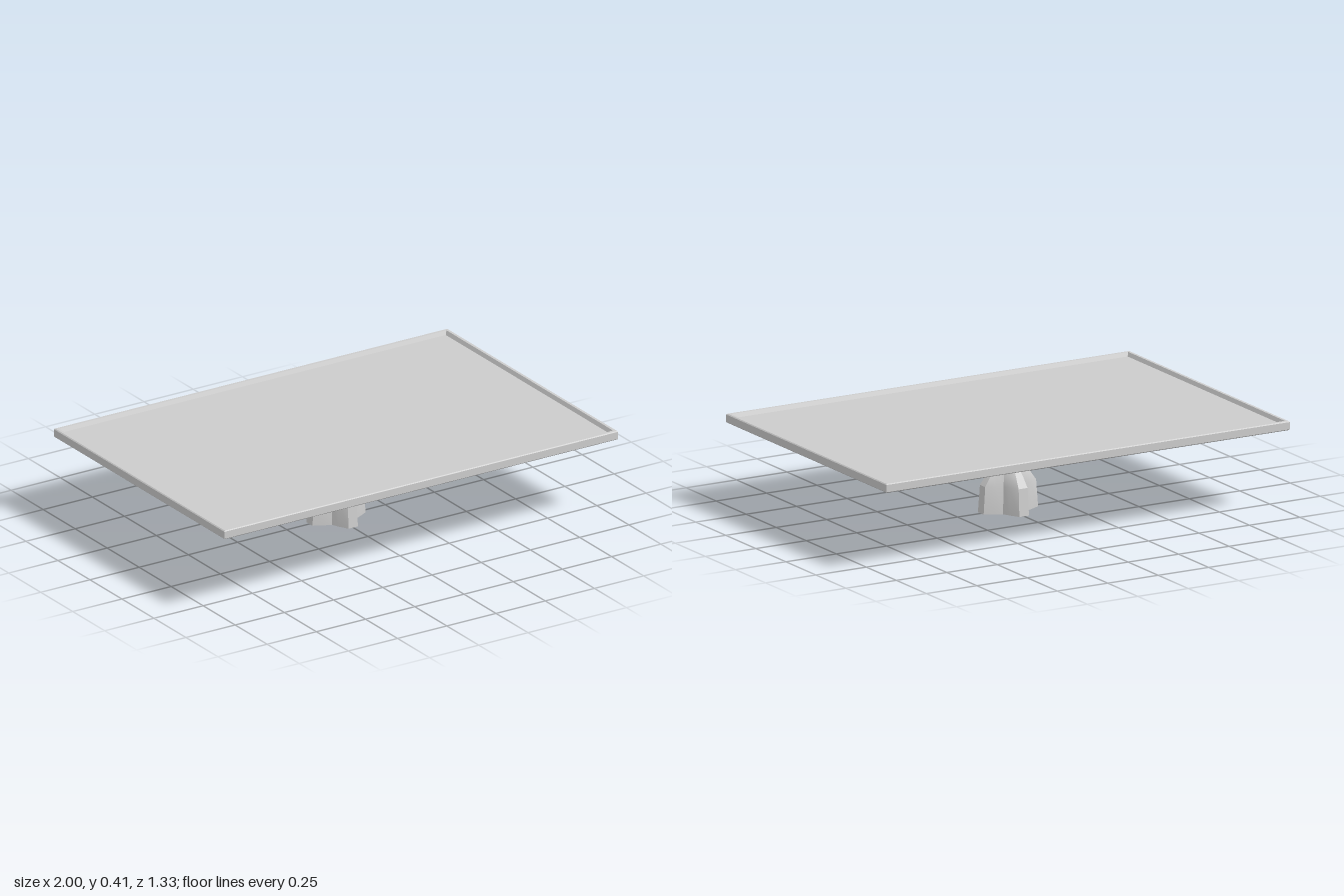
import * as THREE from 'three';
import { toCreasedNormals } from 'three/addons/utils/BufferGeometryUtils.js';

const material = new THREE.MeshStandardMaterial({ color: 0xcccccc, side: THREE.DoubleSide });

// Skins a stack of closed rings, optionally closing the first and last ring.
function loft(rings, capped, crease) {
  const n = rings[0].length;
  const index = [];
  for (let i = 0; i < rings.length - 1; i++) {
    for (let j = 0; j < n; j++) {
      const a = i * n + j, b = i * n + (j + 1) % n;
      index.push(a, a + n, b + n, a, b + n, b);
    }
  }
  if (capped) {
    const t = (rings.length - 1) * n;
    for (let j = 1; j < n - 1; j++) {
      index.push(0, j, j + 1);
      index.push(t, t + j + 1, t + j);
    }
  }
  const geometry = new THREE.BufferGeometry();
  geometry.setAttribute('position', new THREE.Float32BufferAttribute(rings.flat(2), 3));
  geometry.setIndex(index);
  return toCreasedNormals(geometry, crease);
}

// Shallow rectangular tray: [inset from the edge, height], bottom to floor
function makeTray() {
  const profile = [
    [0.004, 0.365], [0, 0.369], [0, 0.401], [0.004, 0.405],
    [0.016, 0.405], [0.024, 0.388],
  ];
  const corners = [[1, 1], [-1, 1], [-1, -1], [1, -1]];
  const rings = profile.map(([inset, y]) =>
    corners.map(([sx, sz]) => [sx * (1 - inset), y, sz * (0.667 - inset)]));
  return loft(rings, true, 0.3);
}

// Hollow pedestal: four-lobed foot that blends into a round neck and cup.
// [height, radius at the lobes, radius in the valleys]
function makePedestal() {
  const profile = [
    [0, 0.137, 0.085], [0.12, 0.128, 0.078], [0.165, 0.097, 0.068],
    [0.205, 0.062, 0.053], [0.225, 0.047, 0.045], [0.26, 0.045, 0.045],
    [0.3, 0.075, 0.075], [0.366, 0.091, 0.091],
  ];
  const angles = [-10, 10, 28, 45, 62]; // one quarter: lobe tip, flank, valley, flank
  const valley = [0, 0, 0.68, 1, 0.68];
  const rings = profile.map(([y, outer, inner]) => {
    const ring = [];
    const blend = Math.min(1, (outer - inner) / 0.03); // even spacing where round
    for (let q = 0; q < 4; q++) {
      angles.forEach((deg, k) => {
        const even = -9 + 18 * k;
        const a = THREE.MathUtils.degToRad(q * 90 + THREE.MathUtils.lerp(even, deg, blend));
        const r = THREE.MathUtils.lerp(outer, inner, valley[k]);
        ring.push([r * Math.cos(a), y, r * Math.sin(a)]);
      });
    }
    return ring;
  });
  return loft(rings, false, 0.45);
}

export function createModel() {
  const group = new THREE.Group();
  group.name = 'pedestalTray';
  const add = (name, geometry) => {
    const mesh = new THREE.Mesh(geometry, material);
    mesh.name = name;
    group.add(mesh);
  };
  add('tray', makeTray());
  add('pedestal', makePedestal());
  return group;
}
